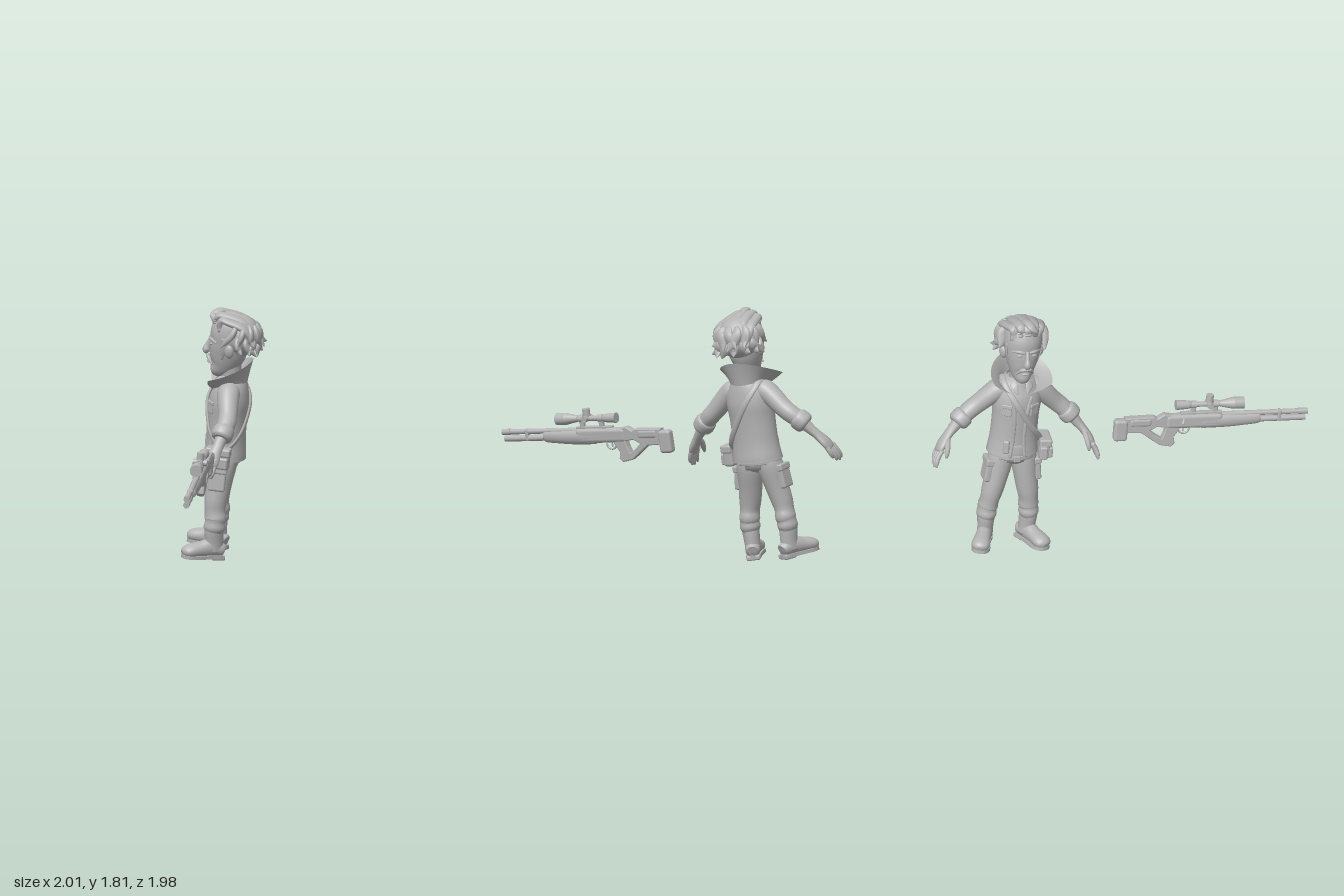
import * as THREE from 'three';
import { RoundedBoxGeometry } from 'three/addons/geometries/RoundedBoxGeometry.js';
import { ParametricGeometry } from 'three/addons/geometries/ParametricGeometry.js';

const clay = new THREE.MeshStandardMaterial({ color: 0xb4b4b4, side: THREE.DoubleSide });
clay.name = 'plain grey';
const Z = new THREE.Vector3(0, 0, 1), Y = new THREE.Vector3(0, 1, 0);
const V = (x, y, z) => new THREE.Vector3(x, y, z);

function add(parent, name, geo, x = 0, y = 0, z = 0, rx = 0, ry = 0, rz = 0) {
  const m = new THREE.Mesh(geo, clay);
  m.name = name;
  m.position.set(x, y, z);
  m.rotation.set(rx, ry, rz);
  parent.add(m);
}

// Smooth skin over elliptical sections [x, y, z, radiusA, radiusB, frontGap].
// ref sets the direction of radiusB; null points it away from the chest.
function sweep(pts, ref = Z, segs = 18, steps = 5) {
  const path = new THREE.CatmullRomCurve3(pts.map(p => V(p[0], p[1], p[2])), false, 'catmullrom', 0.5);
  const size = new THREE.CatmullRomCurve3(pts.map(p => V(p[3], p[4], p[5] || 0)), false, 'catmullrom', 0.5);
  const open = pts.some(p => p[5]), n = (pts.length - 1) * steps, cols = open ? segs + 1 : segs;
  const pos = [], idx = [];
  for (let i = 0; i <= n; i++) {
    const c = path.getPoint(i / n), r = size.getPoint(i / n), t = path.getTangent(i / n);
    const a = V().crossVectors(t, ref || c.clone().sub(V(0, 1.05, 0))).normalize();
    const b = V().crossVectors(a, t);
    for (let j = 0; j < cols; j++) {
      const f = Math.PI / 2 + r.z + (j / segs) * (2 * Math.PI - 2 * r.z);
      const p = c.clone().addScaledVector(a, Math.cos(f) * r.x).addScaledVector(b, Math.sin(f) * r.y);
      pos.push(p.x, p.y, p.z);
    }
  }
  for (let i = 0; i < n; i++) for (let j = 0; j < segs; j++) {
    const k = (j + 1) % cols, o = i * cols, q = o + cols;
    idx.push(o + j, q + j, o + k, o + k, q + j, q + k);
  }
  if (!open) {
    const s = pos.length / 3, last = n * cols;
    pos.push(...path.getPoint(0).toArray(), ...path.getPoint(1).toArray());
    for (let j = 0; j < segs; j++) {
      const k = (j + 1) % cols;
      idx.push(s, j, k, s + 1, last + k, last + j);
    }
  }
  const g = new THREE.BufferGeometry();
  g.setAttribute('position', new THREE.Float32BufferAttribute(pos, 3));
  g.setIndex(idx);
  g.computeVertexNormals();
  return g;
}
const box = (w, h, d, r = 0.012) => new RoundedBoxGeometry(w, h, d, 2, r);
const ball = (x, y, z) => new THREE.SphereGeometry(1, 20, 14).scale(x, y, z);

function makeHead(man) {
  const head = new THREE.Group();
  head.name = 'head';
  man.add(head);
  add(head, 'neck', sweep([[0, 1.18, -0.01, 0.08, 0.08], [0, 1.28, 0, 0.07, 0.075], [0, 1.42, 0.02, 0.075, 0.085]]));
  add(head, 'face', sweep([[0, 1.3, 0.12, 0.02, 0.02], [0, 1.325, 0.105, 0.05, 0.055], [0, 1.38, 0.065, 0.085, 0.1],
    [0, 1.46, 0.04, 0.113, 0.13], [0, 1.54, 0.03, 0.13, 0.14], [0, 1.62, 0.02, 0.138, 0.152], [0, 1.7, 0, 0.12, 0.13], [0, 1.73, 0, 0.04, 0.05]], Z, 28));
  add(head, 'nose', sweep([[0, 1.57, 0.16, 0.014, 0.015], [0, 1.51, 0.182, 0.017, 0.022], [0, 1.475, 0.19, 0.026, 0.028], [0, 1.455, 0.175, 0.015, 0.02]]));
  add(head, 'lowerLip', ball(0.028, 0.01, 0.016), 0, 1.392, 0.162);
  for (const s of [-1, 1]) {
    add(head, 'ear', ball(0.022, 0.05, 0.034), s * 0.138, 1.51, 0.02, 0, s * -0.3, s * -0.15);
    add(head, 'eye', ball(0.022, 0.011, 0.01), s * 0.05, 1.535, 0.156);
    add(head, 'brow', sweep([[s * 0.015, 1.563, 0.172, 0.01, 0.01], [s * 0.06, 1.57, 0.16, 0.012, 0.013], [s * 0.105, 1.558, 0.118, 0.005, 0.007]], Z, 10));
    add(head, 'moustache', sweep([[0, 1.432, 0.178, 0.011, 0.013], [s * 0.033, 1.425, 0.165, 0.013, 0.014], [s * 0.062, 1.385, 0.138, 0.005, 0.006]], Z, 10));
    add(head, 'sideburn', sweep([[s * 0.13, 1.6, 0.055, 0.008, 0.03], [s * 0.125, 1.52, 0.06, 0.006, 0.022], [s * 0.104, 1.44, 0.07, 0.004, 0.008]], Z, 10));
  }
  // Hair: a cap, swept-back top locks, and ragged locks round the back
  add(head, 'hairCap', ball(0.158, 0.15, 0.145), 0, 1.605, -0.035);
  for (let i = -2; i <= 2; i++) {
    const x = i * 0.045, d = i * i * 0.009, e = (i * i * 7 % 5) * 0.006;
    add(head, 'topLock', sweep([[x, 1.675 - d, 0.145 - d, 0.028, 0.014], [x, 1.735 - d + e, 0.135 - d, 0.038, 0.025],
      [x * 1.15, 1.75 - d, 0.04, 0.046, 0.026], [x * 1.35, 1.71 - d, -0.08, 0.044, 0.026], [x * 1.5, 1.63 - d - e * 2, -0.175 + d * 0.7, 0.005, 0.005]], Y, 10));
  }
  add(head, 'quiff', sweep([[0.05, 1.69, 0.14, 0.025, 0.02], [0.03, 1.745, 0.155, 0.035, 0.022], [0, 1.77, 0.1, 0.035, 0.02], [-0.02, 1.745, -0.01, 0.01, 0.01]], Y, 10));
  for (let i = 0; i < 17; i++) {
    const low = i % 2, f = 1.4 + (i / 16) * 3.48, sx = Math.sin(f), cz = Math.cos(f), k = (i * 5 % 7) * 0.006, lean = ((i * 3) % 5 - 2) * 0.02;
    const at = (r, y, w, d = 0) => [sx * r + cz * d, y, cz * r - sx * d - 0.025, w, w * 0.55];
    add(head, 'backLock', sweep([at(0.115, 1.7 - low * 0.07, 0.025), at(0.148, 1.65 - low * 0.08, 0.042),
      at(0.157, 1.59 - low * 0.06, 0.036, lean), at(0.168 + k, 1.535 - low * 0.05 + k, 0.004, lean * 2)], Z, 8, 4));
  }
}

function makeTorso(man) {
  add(man, 'shirt', sweep([[0, 0.66, 0, 0.14, 0.11], [0, 0.85, -0.01, 0.15, 0.12], [0, 1.0, -0.005, 0.15, 0.125],
    [0, 1.12, -0.002, 0.157, 0.13], [0, 1.21, -0.005, 0.145, 0.112], [0, 1.29, 0, 0.085, 0.085]], Z, 28));
  add(man, 'jacket', sweep([[0, 0.715, -0.015, 0.187, 0.149, 0.3], [0, 0.75, -0.015, 0.182, 0.146, 0.27], [0, 0.85, -0.012, 0.17, 0.137, 0.22],
    [0, 1.0, -0.006, 0.168, 0.139, 0.22], [0, 1.12, -0.003, 0.176, 0.144, 0.3], [0, 1.21, -0.006, 0.163, 0.13, 0.45], [0, 1.28, -0.01, 0.12, 0.11, 0.6], [0, 1.31, -0.01, 0.085, 0.085, 0.7]], Z, 36));
  // Tall turned-up collar, high behind and falling to pointed front corners
  add(man, 'collar', new ParametricGeometry((u, t, out) => {
    const g = 0.3 + 0.65 * t, th = g + u * (2 * Math.PI - 2 * g), f = (1 + Math.cos(th)) / 2;
    const flare = t * t * 0.4 + t * 0.6, r = 0.115 + flare * (0.028 + 0.155 * Math.pow(f, 1.3));
    out.set(Math.sin(th) * r, 1.26 - 0.07 * f * f + t * (0.18 - 0.12 * f), Math.cos(th) * r - 0.005);
  }, 40, 8));
  add(man, 'hips', sweep([[0, 0.625, 0, 0.04, 0.05], [0, 0.655, 0, 0.12, 0.098], [0, 0.72, 0, 0.16, 0.122], [0, 0.8, 0, 0.15, 0.12]], Z, 24));
  add(man, 'belt', sweep([[0, 0.69, 0, 0.168, 0.13], [0, 0.722, 0, 0.168, 0.13]], Z, 28));
  add(man, 'buckle', box(0.05, 0.045, 0.02, 0.006), 0, 0.705, 0.13);
  add(man, 'beltPouch', box(0.045, 0.1, 0.035), -0.085, 0.8, 0.12, 0, -0.4);
  for (const s of [-1, 1]) {
    add(man, 'shirtCollar', sweep([[s * 0.075, 1.3, 0.04, 0.02, 0.006], [s * 0.055, 1.27, 0.095, 0.03, 0.008], [s * 0.035, 1.21, 0.128, 0.006, 0.005]], Z, 10));
    add(man, 'jacketEdge', sweep([[s * 0.055, 0.715, 0.127, 0.012, 0.008], [s * 0.04, 0.85, 0.122, 0.012, 0.008], [s * 0.045, 1.05, 0.132, 0.014, 0.008], [s * 0.075, 1.19, 0.115, 0.012, 0.008]], Z, 8));
    add(man, 'chestPocket', box(0.07, 0.075, 0.012, 0.005), s * 0.1, 1.08, 0.113, 0, s * 0.55);
    add(man, 'pocketFlap', box(0.078, 0.028, 0.018, 0.006), s * 0.1, 1.115, 0.115, 0, s * 0.55);
  }
  // Strap over the right shoulder down to the bag on the left hip
  const strap = [[-0.12, 1.3, -0.01], [-0.11, 1.255, 0.075], [-0.03, 1.13, 0.148], [0.08, 0.96, 0.123], [0.155, 0.86, 0.07],
    [0.2, 0.79, 0], [0.155, 0.86, -0.085], [0.07, 0.98, -0.138], [-0.04, 1.14, -0.153], [-0.11, 1.255, -0.09], [-0.12, 1.3, -0.01]];
  add(man, 'strap', sweep(strap.map(p => [...p, 0.023, 0.011]), null, 10, 8));
  const bag = new THREE.Group();
  bag.name = 'hipBag';
  bag.position.set(0.215, 0.75, 0.02);
  bag.rotation.y = -0.1;
  man.add(bag);
  add(bag, 'bagBody', box(0.08, 0.15, 0.17, 0.02));
  add(bag, 'bagFlap', box(0.09, 0.06, 0.18, 0.015), 0.006, 0.05, 0);
  for (const z of [-0.045, 0.045]) add(bag, 'bagPocket', box(0.04, 0.08, 0.07, 0.012), 0.042, -0.025, z);
  add(bag, 'sidePouch', box(0.055, 0.1, 0.045), -0.01, -0.015, 0.098);
}

function makeLimbs(man, s) {
  const S = pts => pts.map(p => [s * p[0], ...p.slice(1)]);
  // Arm with rolled cuff, bare wrist and hand
  add(man, 'sleeve', sweep(S([[0.07, 1.225, -0.005, 0.05, 0.06], [0.125, 1.215, -0.005, 0.075, 0.08], [0.185, 1.17, -0.01, 0.074, 0.077], [0.275, 1.085, -0.025, 0.066, 0.067],
    [0.335, 1.035, -0.025, 0.064, 0.066], [0.41, 0.97, -0.005, 0.058, 0.06]])));
  add(man, 'cuff', sweep(S([[0.36, 1.017, -0.02, 0.056, 0.056], [0.373, 1.005, -0.017, 0.073, 0.074], [0.395, 0.984, -0.01, 0.077, 0.078], [0.42, 0.96, -0.004, 0.073, 0.074], [0.432, 0.948, 0, 0.055, 0.055]])));
  add(man, 'forearm', sweep(S([[0.4, 0.98, -0.01, 0.048, 0.05], [0.455, 0.915, 0.006, 0.036, 0.04], [0.495, 0.87, 0.022, 0.03, 0.042], [0.54, 0.81, 0.045, 0.029, 0.058], [0.565, 0.765, 0.062, 0.02, 0.05]]), Z, 14));
  for (let i = 0; i < 4; i++) {
    const z = 0.018 + i * 0.029, l = [0.8, 1, 1.05, 0.95][i];
    add(man, 'finger', sweep(S([[0.55, 0.79, z, 0.018, 0.017], [0.55 + 0.028 * l, 0.79 - 0.05 * l, z * 1.12, 0.018, 0.017],
      [0.55 + 0.042 * l, 0.79 - 0.09 * l, 0.006 + z * 1.2, 0.016, 0.015], [0.55 + 0.046 * l, 0.79 - 0.12 * l, 0.01 + z * 1.25, 0.007, 0.007]]), Z, 8, 3));
  }
  add(man, 'thumb', sweep(S([[0.5, 0.865, 0.04, 0.02, 0.02], [0.51, 0.825, 0.098, 0.021, 0.021], [0.52, 0.775, 0.13, 0.017, 0.017], [0.523, 0.745, 0.137, 0.007, 0.007]]), V(1, 0, 0), 8, 3));
  // Trouser leg, folds and cargo pocket
  add(man, 'trouserLeg', sweep(S([[0.08, 0.73, 0, 0.075, 0.1], [0.087, 0.65, 0, 0.092, 0.102], [0.108, 0.52, 0.008, 0.083, 0.09], [0.13, 0.41, 0.012, 0.077, 0.08],
    [0.142, 0.34, 0.008, 0.068, 0.074], [0.148, 0.29, 0, 0.073, 0.078], [0.152, 0.265, 0, 0.068, 0.072], [0.154, 0.225, 0, 0.072, 0.077], [0.154, 0.19, 0, 0.058, 0.064]])));
  add(man, 'cargoPocket', box(0.05, 0.17, 0.12, 0.015), s * 0.178, 0.585, 0.012, 0, 0, s * 0.12);
  add(man, 'cargoFlap', box(0.06, 0.05, 0.13, 0.012), s * 0.173, 0.65, 0.012, 0, 0, s * 0.12);
  // Boot, toes turned out
  const boot = new THREE.Group();
  boot.name = 'boot';
  boot.position.set(s * 0.155, 0, 0);
  boot.rotation.y = s * 0.42;
  man.add(boot);
  add(boot, 'bootShaft', sweep([[0, 0.05, -0.008, 0.056, 0.07], [0, 0.12, -0.008, 0.056, 0.066], [0, 0.2, 0, 0.062, 0.068], [0, 0.225, 0, 0.055, 0.06]]));
  add(boot, 'bootFoot', sweep([[0, 0.06, -0.085, 0.03, 0.035], [0, 0.065, -0.065, 0.052, 0.05], [0, 0.075, 0.02, 0.054, 0.068], [0, 0.065, 0.09, 0.058, 0.058],
    [0, 0.055, 0.16, 0.066, 0.05], [0, 0.047, 0.2, 0.055, 0.04], [0, 0.04, 0.222, 0.024, 0.02]], Y));
  const sole = new THREE.Shape(new THREE.SplineCurve([[0, -0.092], [0.05, -0.068], [0.052, 0.02], [0.066, 0.15], [0.042, 0.208], [0, 0.223],
    [-0.042, 0.208], [-0.066, 0.15], [-0.052, 0.02], [-0.05, -0.068], [0, -0.092]].map(p => new THREE.Vector2(...p))).getPoints(50));
  add(boot, 'sole', new THREE.ExtrudeGeometry(sole, { depth: 0.025, bevelEnabled: false }), 0, 0.03, 0, Math.PI / 2);
  add(boot, 'heel', box(0.098, 0.035, 0.095, 0.01), 0, 0.012, -0.04);
}

function makeRifle(rifle) {
  const tube = (name, x0, x1, y, r0, r1 = r0) =>
    add(rifle, name, new THREE.CylinderGeometry(r1, r0, x1 - x0, 20), (x0 + x1) / 2, y, 0, 0, 0, -Math.PI / 2);
  const P = a => a.map(p => new THREE.Vector2(...p));
  const stock = new THREE.Shape(P([[0.08, 0.8], [0.2, 0.795], [0.25, 0.76], [0.34, 0.695], [0.42, 0.68], [0.44, 0.7], [0.43, 0.75],
    [0.47, 0.81], [0.47, 0.9], [0.36, 0.92], [0.31, 0.89], [0.28, 0.905], [0.08, 0.9]]));
  stock.holes.push(new THREE.Path(P([[0.25, 0.805], [0.31, 0.84], [0.385, 0.83], [0.375, 0.78], [0.355, 0.728], [0.3, 0.76]])));
  add(rifle, 'stock', new THREE.ExtrudeGeometry(stock, { depth: 0.034, bevelSize: 0.008, bevelThickness: 0.01, bevelSegments: 2 }), 0, 0, -0.017);
  add(rifle, 'buttPad', box(0.1, 0.165, 0.07, 0.022), 0.05, 0.812, 0);
  add(rifle, 'cheekRest', box(0.17, 0.07, 0.066, 0.025), 0.19, 0.87, 0);
  add(rifle, 'receiver', box(0.42, 0.11, 0.07, 0.03), 0.58, 0.867, 0);
  add(rifle, 'boltHandle', sweep([[0.5, 0.9, 0.03, 0.009, 0.009], [0.495, 0.885, 0.05, 0.009, 0.009], [0.49, 0.865, 0.056, 0.015, 0.015]], Y, 10));
  add(rifle, 'triggerGuard', new THREE.TorusGeometry(0.04, 0.007, 8, 20, Math.PI), 0.51, 0.805, 0, 0, 0, Math.PI);
  add(rifle, 'trigger', box(0.01, 0.035, 0.012, 0.004), 0.505, 0.795, 0);
  add(rifle, 'foreEnd', sweep([[0.64, 0.858, 0, 0.056, 0.036], [0.82, 0.86, 0, 0.055, 0.037], [0.95, 0.864, 0, 0.049, 0.034], [1.04, 0.868, 0, 0.044, 0.03], [1.06, 0.868, 0, 0.036, 0.026]]));
  tube('barrel', 0.75, 1.4, 0.906, 0.019);
  tube('muzzle', 1.34, 1.405, 0.906, 0.022);
  tube('lowerTube', 0.98, 1.39, 0.858, 0.022);
  add(rifle, 'barrelClamp', box(0.025, 0.085, 0.045, 0.008), 1.2, 0.882, 0);
  // Telescopic sight
  add(rifle, 'rail', box(0.3, 0.018, 0.035, 0.005), 0.63, 0.925, 0);
  tube('sightTube', 0.5, 0.86, 0.99, 0.019);
  tube('eyepiece', 0.44, 0.53, 0.99, 0.037, 0.03);
  tube('eyepieceCone', 0.53, 0.57, 0.99, 0.03, 0.019);
  tube('objectiveCone', 0.76, 0.86, 0.99, 0.022, 0.043);
  tube('objective', 0.86, 0.935, 0.99, 0.043);
  for (const x of [0.57, 0.73]) {
    add(rifle, 'sightMount', box(0.035, 0.07, 0.032, 0.008), x, 0.945, 0);
    tube('sightRing', x - 0.018, x + 0.018, 0.99, 0.027);
  }
  add(rifle, 'turret', new THREE.CylinderGeometry(0.027, 0.027, 0.075, 18), 0.685, 1.024, 0);
  add(rifle, 'sideTurret', new THREE.CylinderGeometry(0.022, 0.022, 0.1, 18), 0.685, 0.99, 0, Math.PI / 2);
}

export function createModel() {
  const model = new THREE.Group();
  model.name = 'marksmanWithRifle';
  // Everything stands turned to one side and leaning slightly
  const tilted = new THREE.Group();
  tilted.name = 'tiltedScene';
  tilted.rotation.set(-0.105, -Math.PI / 4, -0.105, 'YZX');
  tilted.position.set(-0.58, 0.03, -0.58);
  model.add(tilted);
  const man = new THREE.Group(), rifle = new THREE.Group();
  man.name = 'man';
  man.position.set(0.017, 0, -0.015);
  rifle.name = 'rifle';
  rifle.position.set(0.735, 0.04, 0.03);
  rifle.rotation.y = -0.03;
  tilted.add(man, rifle);
  makeHead(man);
  makeTorso(man);
  for (const s of [-1, 1]) makeLimbs(man, s);
  makeRifle(rifle);
  // Centre and stand on the ground
  model.updateMatrixWorld(true);
  const b = new THREE.Box3().setFromObject(model, true), c = b.getCenter(V());
  tilted.position.sub(V(c.x, b.min.y, c.z));
  return model;
}
